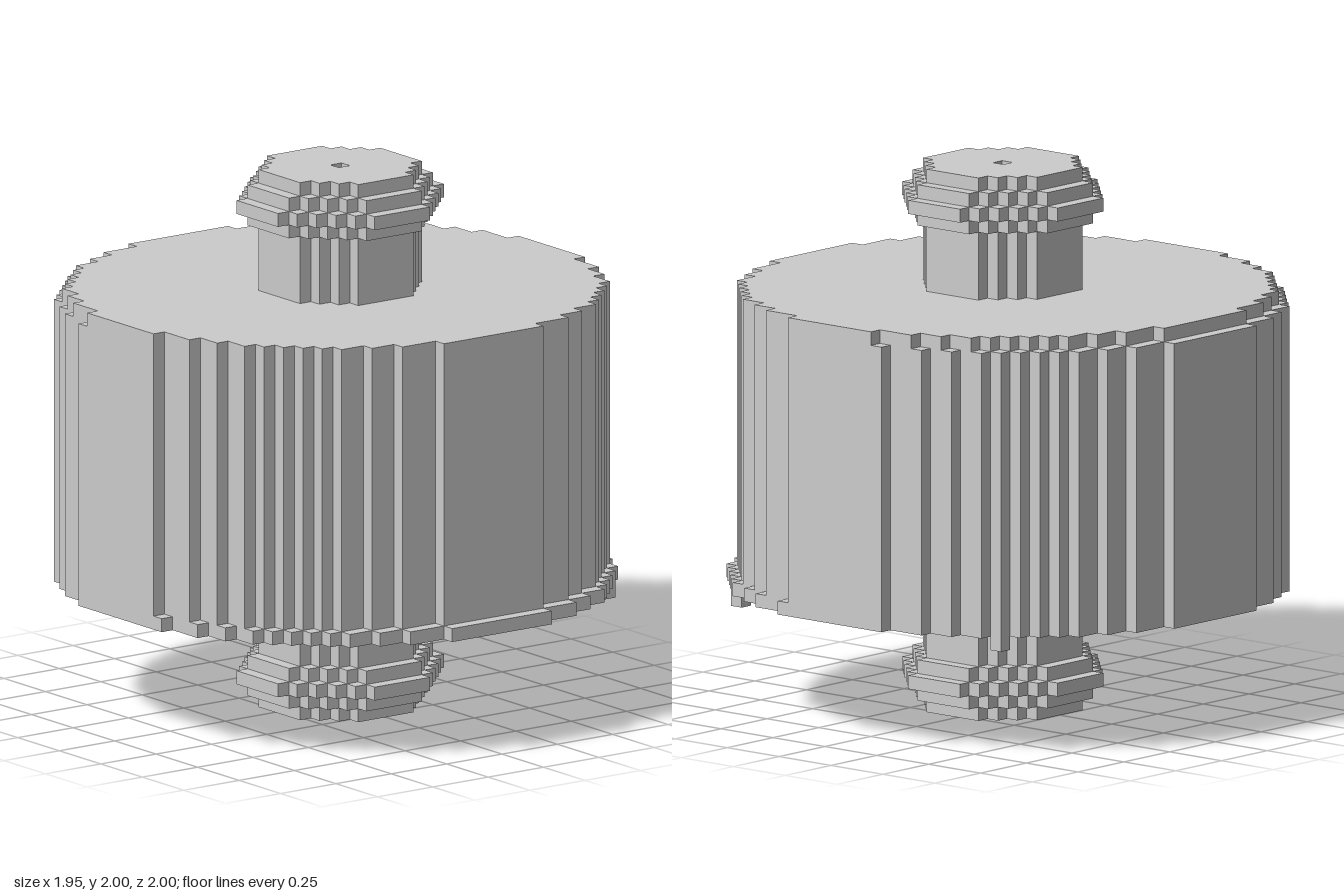
import * as THREE from 'three';

const U = 0.05; // size of one block

// Row half-widths, in blocks, of a round disc and of an octagonal disc
const round = (k) => (Math.abs(k) > 19 ? 0 : Math.floor(Math.sqrt(19.5 * 19.5 - k * k)) + 0.5);
const octagon = (n) => (k) => (Math.abs(k) > n ? 0 : Math.min(n, n + 2 - Math.abs(k)) + 0.5);

export function createModel() {
  const group = new THREE.Group();
  const material = new THREE.MeshStandardMaterial({ color: 0xcccccc, flatShading: true });

  // Upright prism with a stepped outline, one row of blocks per k along z
  function steppedPrism(name, halfWidth, zCentre, y0, y1, hole = false) {
    const right = [], left = [];
    for (let k = -21; k <= 21; k++) {
      const w = halfWidth(k) * U;
      if (w <= 0) continue;
      for (const e of [-0.5, 0.5]) {
        const z = (k + e) * U;
        const last = right[right.length - 1], before = right[right.length - 2];
        // Merge neighbouring rows of equal width
        if (before && last.x === w && before.x === w) {
          last.y = z;
          left[left.length - 1].y = z;
        } else if (!last || last.x !== w || last.y !== z) {
          right.push(new THREE.Vector2(w, z));
          left.push(new THREE.Vector2(-w, z));
        }
      }
    }
    const shape = new THREE.Shape([...right, ...left.reverse()]);
    if (hole) {
      const h = U / 2;
      shape.holes.push(new THREE.Path([
        new THREE.Vector2(-h, -h), new THREE.Vector2(-h, h),
        new THREE.Vector2(h, h), new THREE.Vector2(h, -h),
      ]));
    }
    const geometry = new THREE.ExtrudeGeometry(shape, { depth: y1 - y0, bevelEnabled: false });
    geometry.rotateX(Math.PI / 2).translate(0, y1, zCentre);
    const mesh = new THREE.Mesh(geometry, material);
    mesh.name = name;
    group.add(mesh);
  }

  // Drum: its lowest layer reaches one block forward, its top layer is cut back one block
  steppedPrism('drumBase', (k) => Math.max(round(k), round(k - 1)), -U / 2, 0.45, 0.5);
  steppedPrism('drumBody', round, -U / 2, 0.5, 1.5);
  steppedPrism('drumTop', (k) => Math.min(round(k), round(k - 1)), -U / 2, 1.5, 1.55);

  // Axle stubs, each with a stepped flange and an end cap with a centre hole
  const layers = [
    ['axleCap', 5, 0, 0.05, true],
    ['flangeOuter', 6, 0.05, 0.1],
    ['flangeRim', 7, 0.1, 0.15],
    ['flangeInner', 6, 0.15, 0.2],
    ['axle', 5, 0.2, 0.45],
  ];
  for (const [name, n, a, b, hole] of layers) {
    steppedPrism(name + 'Bottom', octagon(n), U / 2, a, b, hole);
    steppedPrism(name + 'Top', octagon(n), U / 2, 2 - b, 2 - a, hole);
  }

  // Small studs under the drum's left edge
  for (const z of [-0.625, 0.625]) {
    const stud = new THREE.Mesh(new THREE.BoxGeometry(U, U, U), material);
    stud.name = 'stud';
    stud.position.set(0.75, 0.425, z);
    group.add(stud);
  }

  return group;
}
